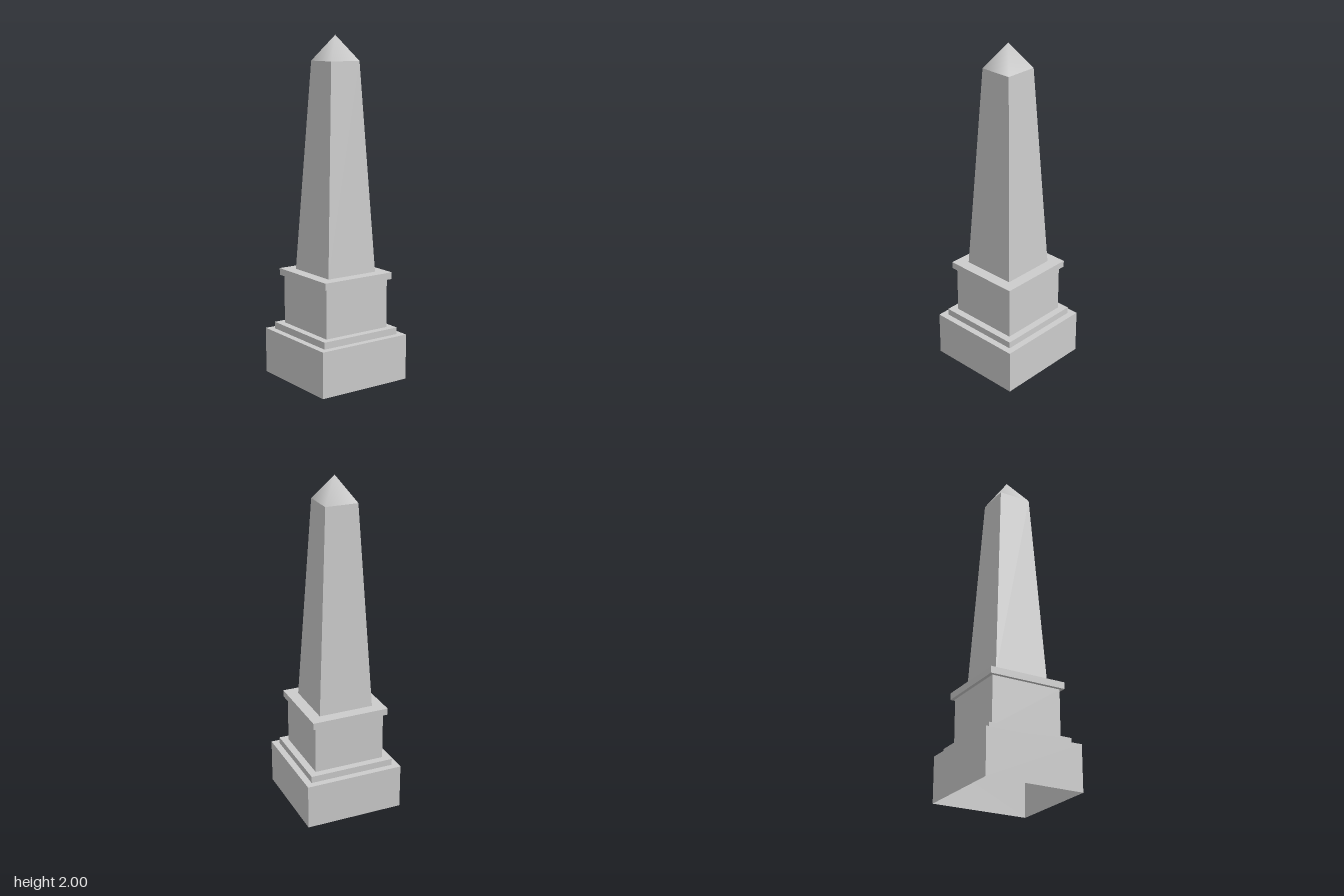
import * as THREE from 'three';

export function createModel() {
  const group = new THREE.Group();
  const stone = new THREE.MeshStandardMaterial({ color: 0xcccccc, side: THREE.DoubleSide });
  stone.name = 'stone';

  const add = (name, geometry) => {
    const mesh = new THREE.Mesh(geometry, stone);
    mesh.name = name;
    group.add(mesh);
    return mesh;
  };

  // Square block between two heights, tapering from half-width h0 to h1
  const block = (name, h0, h1, y0, y1) => {
    const g = new THREE.BoxGeometry(2, y1 - y0, 2);
    const p = g.attributes.position;
    for (let i = 0; i < p.count; i++) {
      const h = p.getY(i) > 0 ? h1 : h0;
      p.setX(i, p.getX(i) * h);
      p.setZ(i, p.getZ(i) * h);
    }
    g.translate(0, (y0 + y1) / 2, 0);
    g.computeVertexNormals();
    return add(name, g);
  };

  // Plinth is hollow: drop the bottom face (fourth of the six box sides)
  const plinth = block('plinth', 0.297, 0.297, 0, 0.27);
  const index = Array.from(plinth.geometry.index.array);
  index.splice(18, 6);
  plinth.geometry.setIndex(index);
  plinth.geometry.clearGroups();

  block('plinthStep', 0.258, 0.258, 0.27, 0.31);
  block('pedestal', 0.215, 0.215, 0.31, 0.6);
  block('cornice', 0.235, 0.235, 0.6, 0.64);
  block('shaft', 0.166, 0.098, 0.64, 1.855);

  // Capstone: pyramid with shared corners, so its shading is smooth
  const w = 0.098, y = 1.855;
  const cap = new THREE.BufferGeometry();
  cap.setAttribute('position', new THREE.Float32BufferAttribute(
    [-w, y, w, w, y, w, w, y, -w, -w, y, -w, 0, 2, 0], 3));
  cap.setIndex([0, 1, 4, 1, 2, 4, 2, 3, 4, 3, 0, 4]);
  cap.computeVertexNormals();
  add('capstone', cap);

  return group;
}
